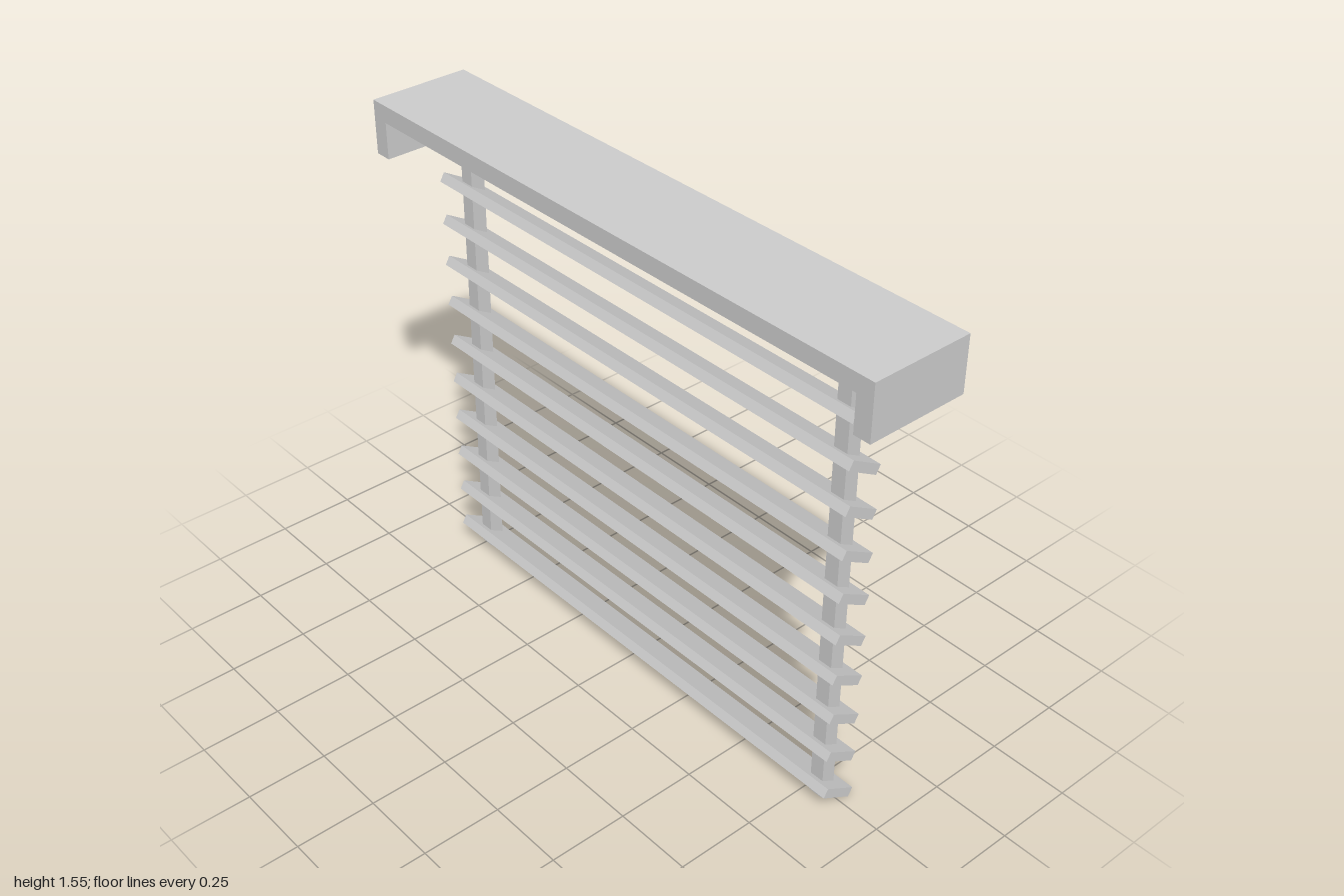
import * as THREE from 'three';

const material = new THREE.MeshStandardMaterial({ color: 0xcccccc, flatShading: true });

// Box given by its lower and upper corners
function boxBetween(name, [x0, y0, z0], [x1, y1, z1]) {
  const mesh = new THREE.Mesh(new THREE.BoxGeometry(x1 - x0, y1 - y0, z1 - z0), material);
  mesh.position.set((x0 + x1) / 2, (y0 + y1) / 2, (z0 + z1) / 2);
  mesh.name = name;
  return mesh;
}

export function createModel() {
  const model = new THREE.Group();
  model.name = 'windowBlind';

  // Head box: top, one long fascia and two end plates; open below and on the -x side
  const halfDepth = 0.163, bottom = 1.38, top = 1.552, wall = 0.055;
  const headBox = new THREE.Group();
  headBox.name = 'headBox';
  headBox.add(
    boxBetween('headTop', [-halfDepth, top - wall, -1], [halfDepth, top, 1]),
    boxBetween('headFascia', [halfDepth - wall, bottom, -1], [halfDepth, top - wall, 1]),
    boxBetween('headEndLeft', [-halfDepth, bottom, 1 - wall], [halfDepth - wall, top - wall, 1]),
    boxBetween('headEndRight', [-halfDepth, bottom, -1], [halfDepth - wall, top - wall, -1 + wall])
  );
  model.add(headBox);

  // Two hanging straps that run through the slats
  for (const z of [0.797, -0.733]) {
    model.add(boxBetween('strap', [-0.036, 0.01, z - 0.023], [0.01, top - wall, z + 0.023]));
  }

  // Ten tilted slats
  const slats = new THREE.Group();
  slats.name = 'slats';
  const slatGeometry = new THREE.BoxGeometry(0.118, 0.03, 1.68);
  for (let i = 0; i < 10; i++) {
    const slat = new THREE.Mesh(slatGeometry, material);
    slat.name = 'slat';
    slat.position.set(-0.012, 0.0435 + i * 0.1405, 0.02);
    slat.rotation.z = -Math.PI / 6;
    slats.add(slat);
  }
  model.add(slats);

  return model;
}
